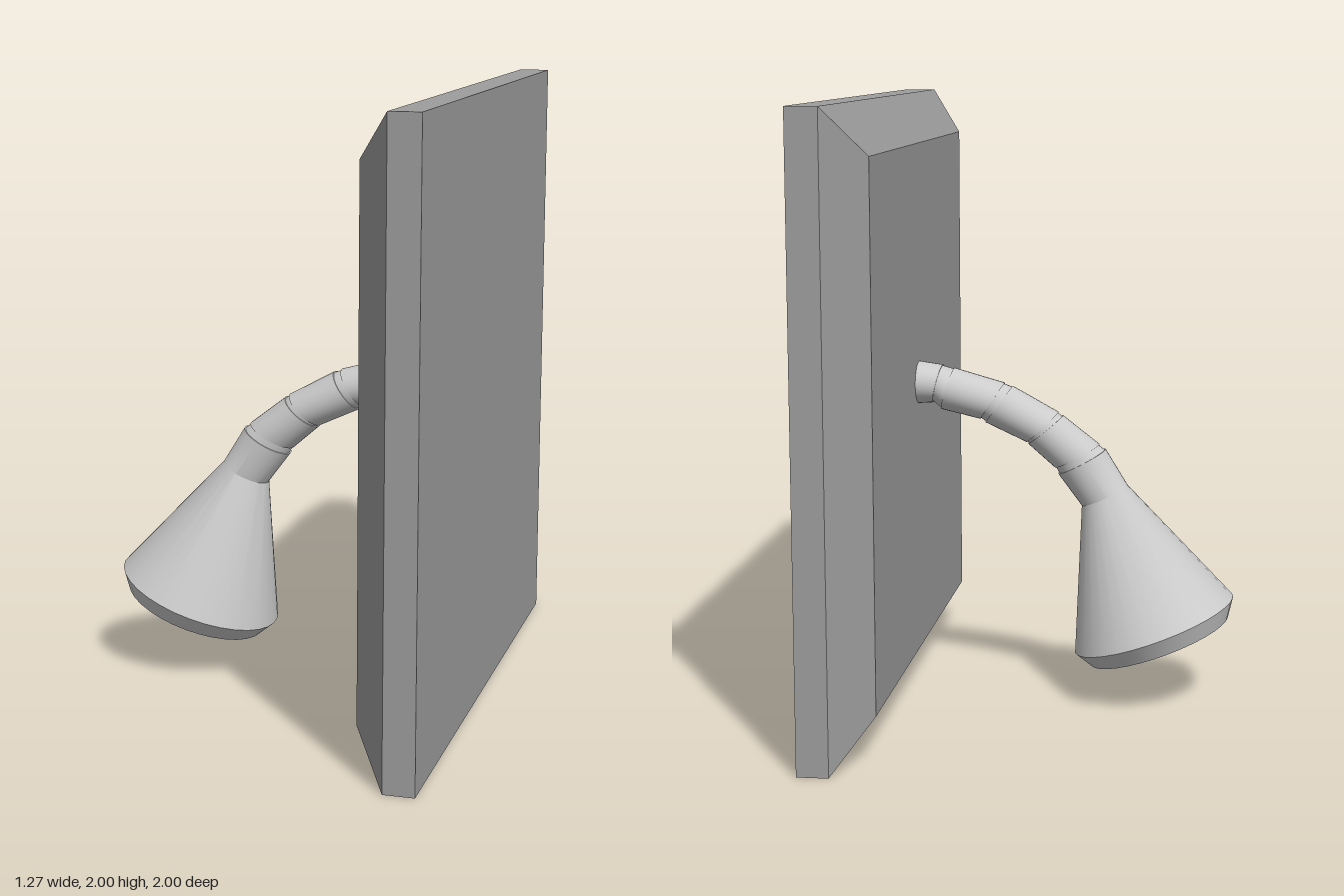
import * as THREE from 'three';
import { toCreasedNormals } from 'three/addons/utils/BufferGeometryUtils.js';

const Z = -0.038; // depth of the arm's centre plane
const SIDES = 32;
const grey = new THREE.MeshStandardMaterial({ color: 0xcccccc });
const darkGrey = new THREE.MeshStandardMaterial({ color: 0x9d9d9d });

// Skin over tilted rings; each ring is [outer x, outer y, inner x, inner y, radius in z]
function loft(rings, capEnd = true) {
  const out = [];
  const point = ([px, py, qx, qy, r], j) => {
    const a = (j / SIDES) * Math.PI * 2, c = Math.cos(a) / 2;
    return [(px + qx) / 2 + (px - qx) * c, (py + qy) / 2 + (py - qy) * c, Z + r * Math.sin(a)];
  };
  const centre = ([px, py, qx, qy]) => [(px + qx) / 2, (py + qy) / 2, Z];
  const first = rings[0], last = rings[rings.length - 1];
  for (let j = 0; j < SIDES; j++) {
    const k = (j + 1) % SIDES;
    for (let i = 0; i < rings.length - 1; i++) {
      const a = point(rings[i], j), b = point(rings[i], k);
      const c = point(rings[i + 1], j), d = point(rings[i + 1], k);
      out.push(...a, ...c, ...b, ...b, ...c, ...d);
    }
    out.push(...centre(first), ...point(first, j), ...point(first, k));
    if (capEnd) out.push(...centre(last), ...point(last, k), ...point(last, j));
  }
  const g = new THREE.BufferGeometry();
  g.setAttribute('position', new THREE.Float32BufferAttribute(out, 3));
  return toCreasedNormals(g, 0.4);
}

// Ring pulled in towards its own centre
function shrink([px, py, qx, qy, r], s) {
  const mix = (a, b) => (a + b) / 2 + ((a - b) / 2) * s;
  return [mix(px, qx), mix(py, qy), mix(qx, px), mix(qy, py), r * s];
}

export function createModel() {
  const model = new THREE.Group();
  const add = (name, geometry, material = grey) => {
    const mesh = new THREE.Mesh(geometry, material);
    mesh.name = name;
    model.add(mesh);
    return mesh;
  };

  // Square wall plate with a bevelled inner side
  add('wallPlate', new THREE.BoxGeometry(0.1, 2, 2), darkGrey).position.set(0.587, 1, 0);
  const bevel = new THREE.BoxGeometry(0.117, 2, 2);
  const pos = bevel.attributes.position;
  for (let i = 0; i < pos.count; i++) {
    if (pos.getX(i) < 0) pos.setXYZ(i, pos.getX(i), pos.getY(i) * 0.85, pos.getZ(i) * 0.85);
  }
  bevel.computeVertexNormals();
  add('wallPlateBevel', bevel, darkGrey).position.set(0.4785, 1, 0);

  // Jointed arm: four mitred sleeves, then the neck and flared head with its chamfered rim
  const sections = [
    [[0.44, 1.13, 0.44, 0.985, 0.08], [0.34, 1.116, 0.37, 0.99, 0.08]],
    [[0.302, 1.106, 0.344, 0.968, 0.08], [0.132, 1.058, 0.212, 0.937, 0.08]],
    [[0.106, 1.048, 0.196, 0.926, 0.08], [-0.048, 0.963, 0.058, 0.862, 0.08]],
    [[-0.063, 0.952, 0.053, 0.857, 0.08], [-0.185, 0.857, -0.037, 0.778, 0.08]],
    [
      [-0.206, 0.841, -0.048, 0.757, 0.082],
      [-0.28, 0.72, -0.127, 0.651, 0.08],
      [-0.635, 0.349, -0.106, 0.153, 0.283],
      [-0.619, 0.28, -0.159, 0.111, 0.245],
    ],
  ];
  sections.forEach((rings, i) => {
    const isHead = i === sections.length - 1;
    add(isHead ? 'showerHead' : `armSleeve${i + 1}`, loft(rings, !isHead));
    // Slightly thinner collar filling the gap to the next section
    if (!isHead) add(`armCollar${i + 1}`, loft([shrink(rings[1], 0.95), shrink(sections[i + 1][0], 0.95)]));
  });

  // Spray face pierced by a honeycomb of holes
  const disc = new THREE.Shape().absarc(0, 0, 0.245, 0, Math.PI * 2);
  const step = 0.054;
  for (let row = -4; row <= 4; row++) {
    for (let col = -5; col <= 5; col++) {
      const x = (col + (row % 2 ? 0.5 : 0)) * step, y = row * step * 0.866;
      if (Math.hypot(x, y) > 0.215) continue;
      disc.holes.push(new THREE.Path().absarc(x, y, 0.015, 0, Math.PI * 2, true));
    }
  }
  const face = add('sprayFace', new THREE.ShapeGeometry(disc, 16));
  face.position.set(-0.389, 0.1955, Z);
  face.quaternion.setFromUnitVectors(new THREE.Vector3(0, 0, 1), new THREE.Vector3(-0.345, -0.939, 0).normalize());

  return model;
}
